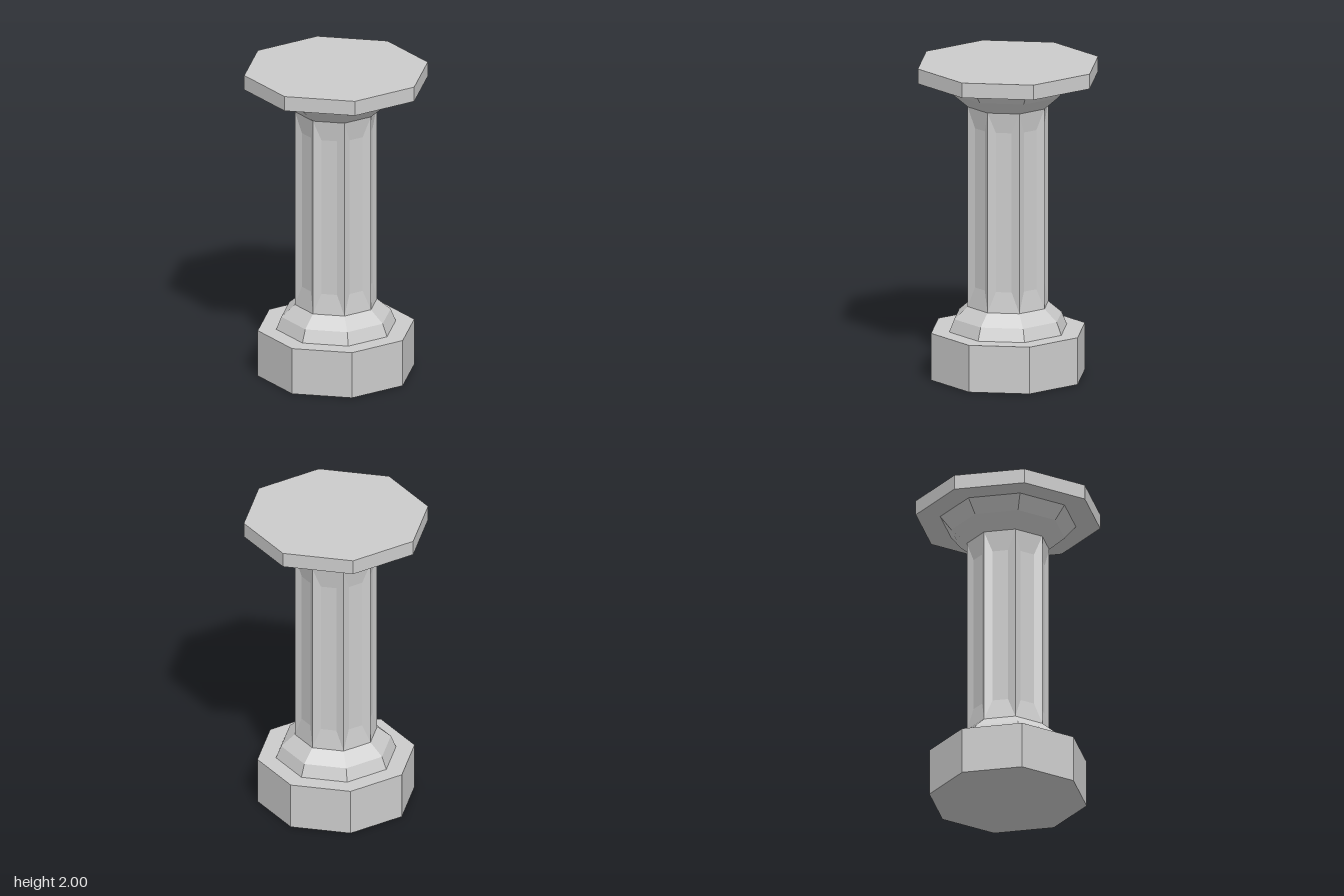
import * as THREE from 'three';

const SIDES = 8;
const STEP = (Math.PI * 2) / SIDES;
const CORNER = 1 / Math.cos(STEP / 2); // flat-to-centre distance -> corner radius
const material = new THREE.MeshStandardMaterial({ color: 0xcccccc, flatShading: true });

function addPart(group, name, geometry) {
  const mesh = new THREE.Mesh(geometry, material);
  mesh.name = name;
  group.add(mesh);
  return mesh;
}

// Octagonal slab with flats facing the axes
function slab(apothem, y0, y1) {
  const r = apothem * CORNER;
  return new THREE.CylinderGeometry(r, r, y1 - y0, SIDES, 1, false, STEP / 2)
    .translate(0, (y0 + y1) / 2, 0);
}

// Octagonal moulding from [apothem, y] pairs, bottom to top
function moulding(profile) {
  const points = profile.map(([a, y]) => new THREE.Vector2(a * CORNER, y));
  return new THREE.LatheGeometry(points, SIDES, STEP / 2);
}

// Shaft whose every side holds a shallow sunken panel with sloping borders
function panelledShaft(apothem, y0, y1, border, endBorder, depth) {
  const half = apothem * Math.tan(STEP / 2);
  const w = half - border;
  const d = apothem - depth;
  const outer = [[-half, y0, apothem], [half, y0, apothem], [half, y1, apothem], [-half, y1, apothem]];
  const inner = [[-w, y0 + endBorder, d], [w, y0 + endBorder, d], [w, y1 - endBorder, d], [-w, y1 - endBorder, d]];
  const face = [];
  const quad = (a, b, c, e) => face.push(...a, ...b, ...c, ...a, ...c, ...e);
  for (let i = 0; i < 4; i++) {
    const j = (i + 1) % 4;
    quad(outer[i], outer[j], inner[j], inner[i]);
  }
  quad(...inner);

  // Repeat the side around the axis
  const positions = [];
  const v = new THREE.Vector3();
  const up = new THREE.Vector3(0, 1, 0);
  for (let s = 0; s < SIDES; s++) {
    for (let i = 0; i < face.length; i += 3) {
      v.fromArray(face, i).applyAxisAngle(up, s * STEP);
      positions.push(v.x, v.y, v.z);
    }
  }
  const geometry = new THREE.BufferGeometry();
  geometry.setAttribute('position', new THREE.Float32BufferAttribute(positions, 3));
  geometry.computeVertexNormals();
  return geometry;
}

export function createModel() {
  const column = new THREE.Group();
  column.name = 'column';
  addPart(column, 'base', slab(0.458, 0, 0.3));
  addPart(column, 'lowerMoulding', moulding([[0.35, 0.3], [0.32, 0.38], [0.24, 0.455]]));
  addPart(column, 'shaft', panelledShaft(0.24, 0.455, 1.735, 0.05, 0.13, 0.018));
  addPart(column, 'upperMoulding', moulding([[0.24, 1.735], [0.33, 1.82], [0.395, 1.905]]));
  addPart(column, 'topSlab', slab(0.537, 1.905, 2));
  return column;
}
